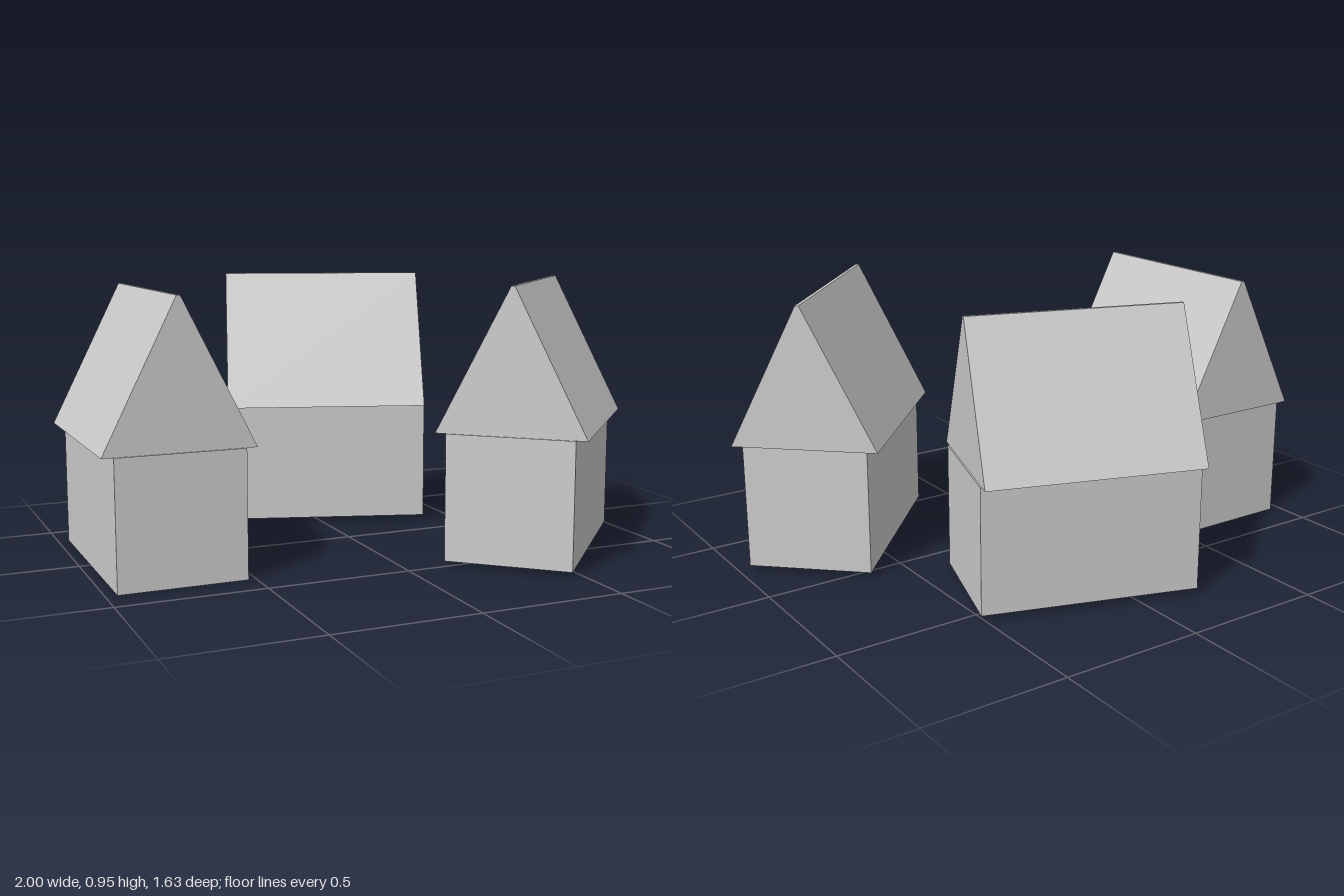
import * as THREE from 'three';

const material = new THREE.MeshStandardMaterial({ color: 0xcccccc, flatShading: true });

const LENGTH = 0.75;      // along the ridge
const BODY_WIDTH = 0.435;
const EAVE = 0.438;       // height of the eaves
const RIDGE = 0.935;
const ROOF_WIDTH = 0.512;
const RIDGE_FLAT = 0.012; // narrow flat strip on top of the roof

// One simple house with its ridge along local z
function house(name, x, y, z, angle) {
  const group = new THREE.Group();
  group.name = name;

  // Walls
  const walls = new THREE.Mesh(new THREE.BoxGeometry(BODY_WIDTH, EAVE, LENGTH), material);
  walls.name = 'walls';
  walls.position.set(0, EAVE / 2, 0.005);
  group.add(walls);

  // Gabled roof prism, overhanging at the eaves only
  const gable = new THREE.Shape([
    new THREE.Vector2(-ROOF_WIDTH / 2, EAVE),
    new THREE.Vector2(ROOF_WIDTH / 2, EAVE),
    new THREE.Vector2(RIDGE_FLAT / 2, RIDGE),
    new THREE.Vector2(-RIDGE_FLAT / 2, RIDGE),
  ]);
  const roofGeometry = new THREE.ExtrudeGeometry(gable, { depth: LENGTH, bevelEnabled: false });
  roofGeometry.translate(0, 0, -LENGTH / 2);
  const roof = new THREE.Mesh(roofGeometry, material);
  roof.name = 'roof';
  group.add(roof);

  group.position.set(x, y, z);
  group.rotation.y = angle;
  return group;
}

export function createModel() {
  const model = new THREE.Group();
  model.name = 'houses';
  model.add(
    house('rightHouse', -0.744, 0, 0.005, 0),
    house('backHouse', 0.083, 0.018, -0.461, 1.258),
    house('frontLeftHouse', 0.553, 0.018, 0.365, -0.745),
  );
  return model;
}
